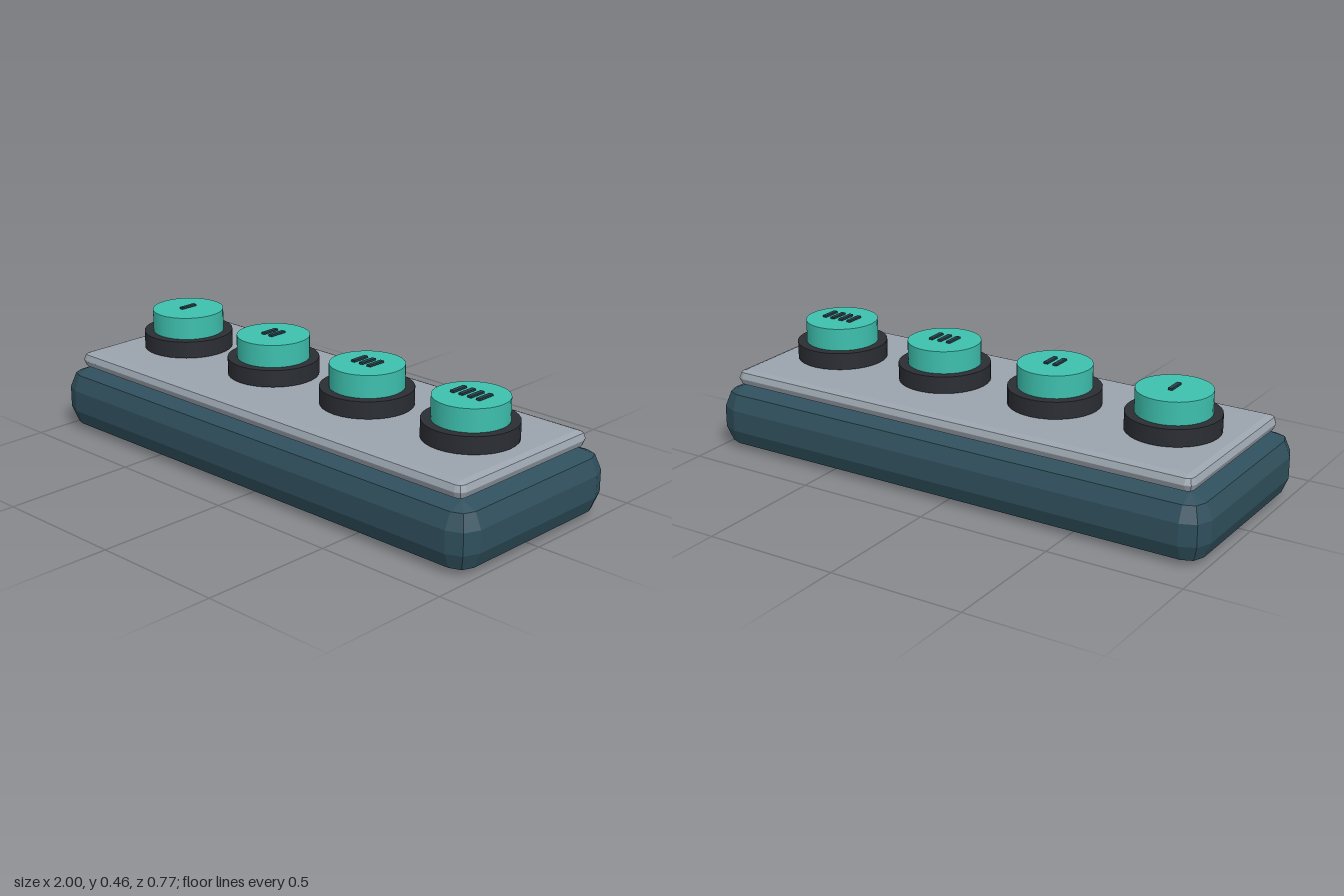
import * as THREE from 'three';

const mat = (color, flatShading = false) => new THREE.MeshStandardMaterial({ color, flatShading });

// Box with coarse spherical rounding (two facets per quarter turn), standing on y = 0
function facetedBox(w, h, d, r, steps = 2) {
  const pos = [], idx = [];
  const n = 4 * (steps + 1);
  let rings = 0;
  for (const half of [-1, 1]) {
    for (let k = 0; k <= steps; k++) {
      const lat = (Math.PI / 2) * (half < 0 ? k / steps - 1 : k / steps);
      const y = h / 2 + half * (h / 2 - r) + r * Math.sin(lat);
      const out = r * Math.cos(lat);
      for (let q = 0; q < 4; q++) {
        const sx = q === 0 || q === 3 ? 1 : -1, sz = q < 2 ? 1 : -1;
        for (let s = 0; s <= steps; s++) {
          const a = (Math.PI / 2) * (q + s / steps);
          pos.push(sx * (w / 2 - r) + out * Math.cos(a), y, sz * (d / 2 - r) + out * Math.sin(a));
        }
      }
      rings++;
    }
  }
  for (let k = 0; k < rings - 1; k++) {
    for (let j = 0; j < n; j++) {
      const a = k * n + j, b = k * n + (j + 1) % n;
      idx.push(a, a + n, b, b, a + n, b + n);
    }
  }
  // Flat bottom and top rectangles
  const c = [0, 1, 2, 3].map(q => q * (steps + 1)), t = (rings - 1) * n;
  idx.push(c[0], c[1], c[2], c[0], c[2], c[3]);
  idx.push(t + c[0], t + c[2], t + c[1], t + c[0], t + c[3], t + c[2]);
  const g = new THREE.BufferGeometry();
  g.setAttribute('position', new THREE.Float32BufferAttribute(pos, 3));
  g.setIndex(idx);
  g.computeVertexNormals();
  return g;
}

export function createModel() {
  const model = new THREE.Group();
  const add = (parent, name, geometry, material, x, y, z) => {
    const m = new THREE.Mesh(geometry, material);
    m.name = name;
    m.position.set(x, y, z);
    parent.add(m);
  };

  // Housing and top plate
  add(model, 'housing', facetedBox(2, 0.24, 0.774, 0.08), mat(0x2f4f5c, true), 0, 0, 0);
  add(model, 'topPlate', facetedBox(1.88, 0.062, 0.674, 0.03), mat(0x9aa3ad, true), 0, 0.24, 0);

  // Four push buttons, marked with one to four bars
  const collarGeo = new THREE.CylinderGeometry(0.168, 0.168, 0.063, 32);
  const capGeo = new THREE.CylinderGeometry(0.134, 0.134, 0.083, 32);
  const barGeo = new THREE.BoxGeometry(0.016, 0.007, 0.07);
  const collarMat = mat(0x2a2d33), capMat = mat(0x3dbfad), barMat = mat(0x263f49);
  for (let i = 0; i < 4; i++) {
    const button = new THREE.Group();
    button.name = `button${i + 1}`;
    button.position.x = -0.698 + i * 0.4653;
    add(button, 'collar', collarGeo, collarMat, 0, 0.3385, 0);
    add(button, 'cap', capGeo, capMat, 0, 0.4115, 0);
    for (let b = 0; b <= i; b++) {
      add(button, 'markBar', barGeo, barMat, (b - i / 2) * 0.037, 0.4595, 0);
    }
    model.add(button);
  }
  return model;
}
